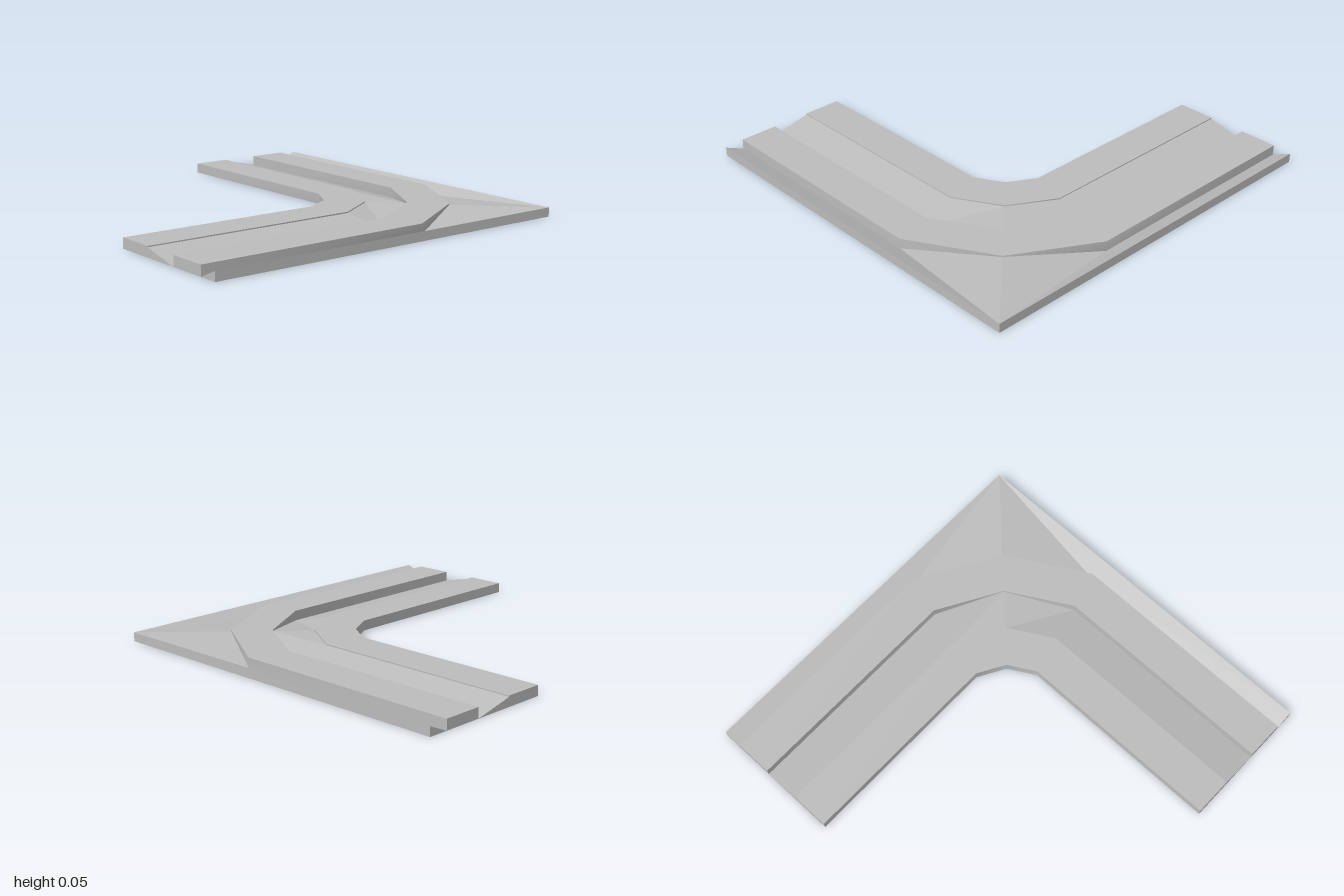
import * as THREE from 'three';
import { toCreasedNormals } from 'three/addons/utils/BufferGeometryUtils.js';

const TOP = 0.052, EDGE = 0.046; // raised bands, and high edge of the sloped bands
const stone = new THREE.MeshStandardMaterial({ color: 0xbcbcbc });
stone.name = 'light grey';

// Rail around the bend at offset d: straight, two 30-degree facets, straight
function rail(d, y, yMid = y) {
  const s = 0.268 * d, m = 0.732 * d;
  return [[-1, y, -d], [s, y, -d], [m, yMid, -m], [d, y, -s], [d, y, 1]]
    .map(p => new THREE.Vector3(...p));
}
// Square outer boundary: its three middle points share the corner
function outer(y) {
  return [[-1, y, -1], [1, y, -1], [1, y, -1], [1, y, -1], [1, y, 1]]
    .map(p => new THREE.Vector3(...p));
}

// Triangles between two rails, skipping collapsed ones
function strip(a, b) {
  const out = [];
  const tri = (p, q, r) => {
    if (new THREE.Triangle(p, q, r).getArea() > 1e-7) out.push(p, q, r);
  };
  for (let i = 0; i < a.length - 1; i++) {
    tri(a[i], a[i + 1], b[i + 1]);
    tri(a[i], b[i + 1], b[i]);
  }
  return out;
}

// Both cut ends of a band lying between an inner and an outer section edge
function caps(loIn, hiIn, loOut, hiOut) {
  return [
    ...strip([loIn[4], loOut[4]], [hiIn[4], hiOut[4]]),
    ...strip([loOut[0], loIn[0]], [hiOut[0], hiIn[0]]),
  ];
}

export function createModel() {
  const group = new THREE.Group();
  group.name = 'cornerPath';
  const add = (name, points, crease = 0.05) => {
    const geo = new THREE.BufferGeometry().setFromPoints(points);
    geo.computeVertexNormals();
    const mesh = new THREE.Mesh(toCreasedNormals(geo, crease), stone);
    mesh.name = name;
    group.add(mesh);
  };

  const base = [0.3, 0.5, 0.7, 0.9].map(d => rail(d, 0));
  const top = [0.3, 0.5, 0.7, 0.9].map(d => rail(d, TOP));
  const outLow = outer(0), outHigh = outer(EDGE);
  const channelHigh = rail(0.5, EDGE);
  const channelLow = rail(0.7, 0, EDGE); // rises to the rim at the bend
  const vergeLow = rail(0.9, 0, EDGE);

  // Flat raised bands
  add('innerBand', strip(top[0], top[1]));
  add('raisedBand', strip(top[2], top[3]));

  // Sloped bands beside them
  add('slopedChannel', strip(channelHigh, channelLow));
  add('outerVerge', strip(vergeLow, outHigh));

  // Upright walls, smooth around the bend
  add('innerWall', strip(base[0], top[0]), 0.6);
  add('innerLip', strip(top[1], channelHigh), 0.6);
  add('raisedBandInnerWall', strip(channelLow, top[2]), 0.6);
  add('raisedBandOuterWall', strip(top[3], vergeLow), 0.6);
  add('outerWall', strip(outHigh, outLow));

  // Cut ends and underside
  add('ends', [
    ...caps(base[0], top[0], base[1], top[1]),
    ...caps(base[1], channelHigh, base[2], channelLow),
    ...caps(base[2], top[2], base[3], top[3]),
    ...caps(base[3], vergeLow, outLow, outHigh),
  ]);
  add('underside', strip(outLow, base[0]));

  return group;
}
